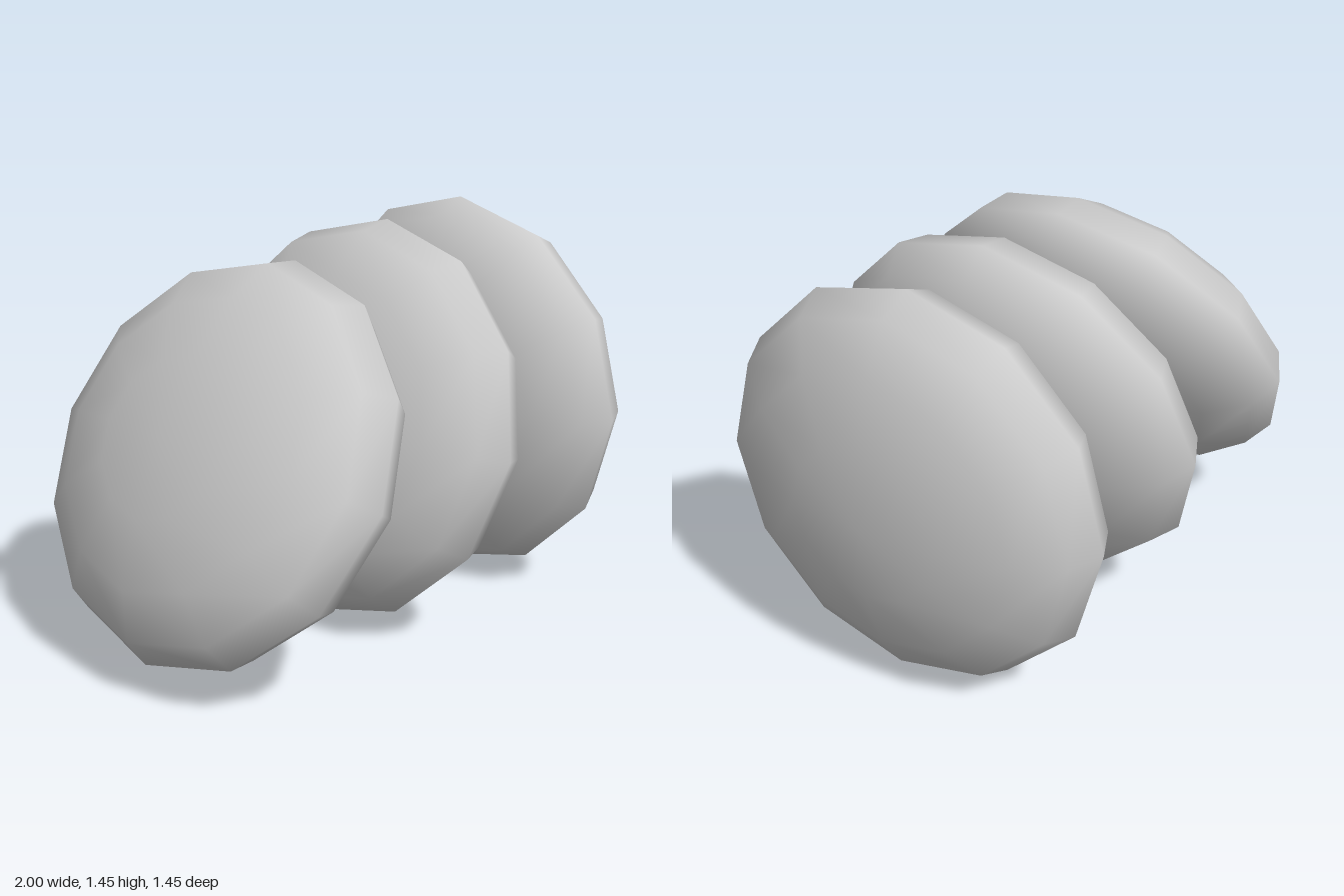
import * as THREE from 'three';

export function createModel() {
  const model = new THREE.Group();
  const material = new THREE.MeshStandardMaterial({ color: 0xcccccc });

  // Flattened ball: poles along x, twelve-sided rim, smooth normals
  const radius = 0.723;
  const halfThickness = 0.31;
  const geometry = new THREE.SphereGeometry(1, 12, 8);
  geometry.rotateZ(Math.PI / 2);
  geometry.scale(halfThickness, radius, radius);

  // Row of discs leaning further over towards the right
  const discs = [
    { name: 'uprightDisc', x: 0.69, lean: 0 },
    { name: 'middleDisc', x: 0.09, lean: 15 },
    { name: 'leaningDisc', x: -0.555, lean: 30 },
  ];
  for (const { name, x, lean } of discs) {
    const disc = new THREE.Mesh(geometry, material);
    disc.name = name;
    disc.position.set(x, radius, 0);
    disc.rotation.z = -THREE.MathUtils.degToRad(lean);
    model.add(disc);
  }
  return model;
}
